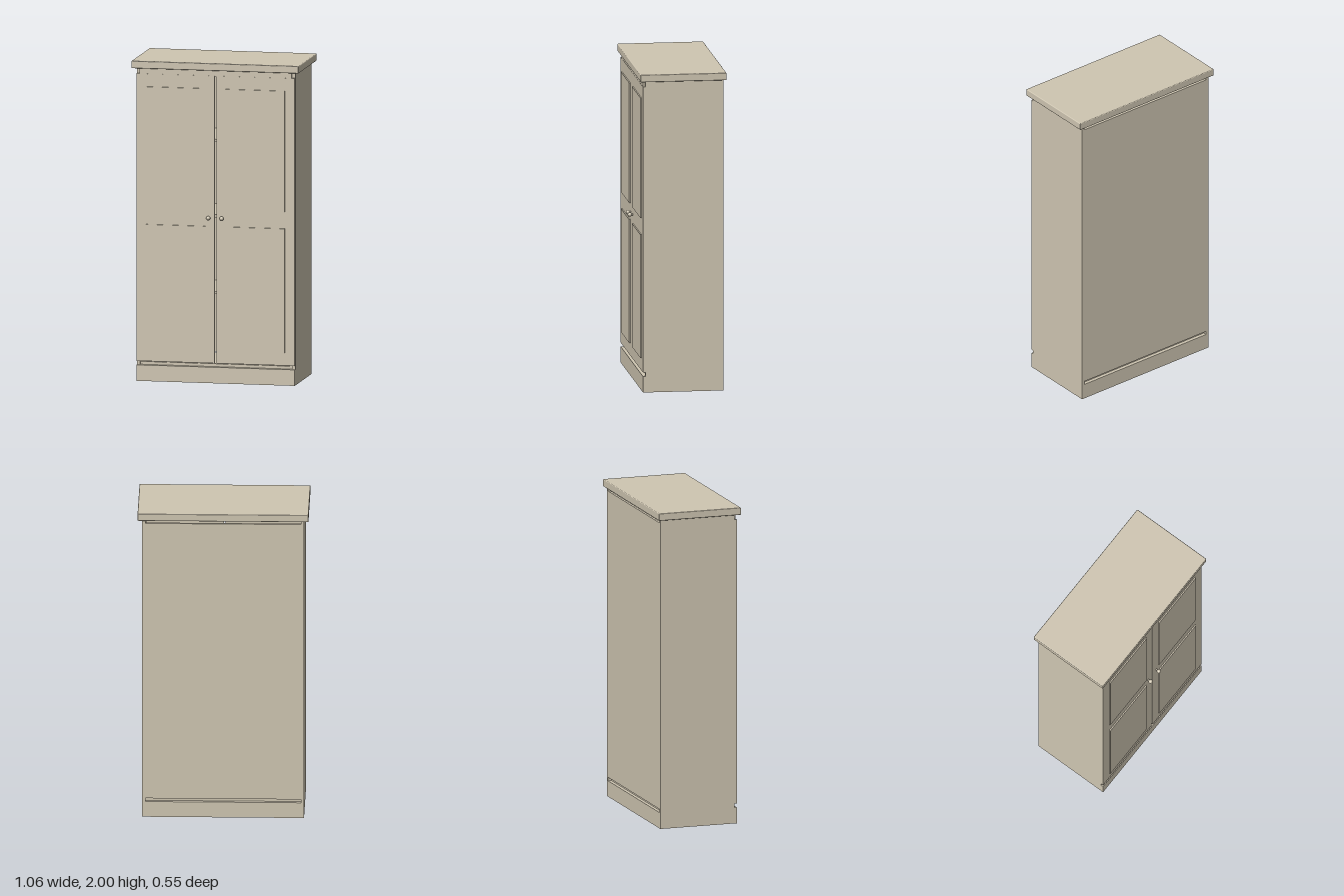
import * as THREE from 'three';
import { RoundedBoxGeometry } from 'three/addons/geometries/RoundedBoxGeometry.js';

export function createModel() {
  const cabinet = new THREE.Group();
  cabinet.name = 'wardrobe';
  const paint = new THREE.MeshStandardMaterial({ color: 0xcfc6b2 });
  paint.name = 'cream paint';

  function add(name, geometry, parent = cabinet) {
    const mesh = new THREE.Mesh(geometry, paint);
    mesh.name = name;
    parent.add(mesh);
    return mesh;
  }

  // Box given by its limits on each axis
  function box(name, [x0, x1], [y0, y1], [z0, z1], parent) {
    const mesh = add(name, new THREE.BoxGeometry(x1 - x0, y1 - y0, z1 - z0), parent);
    mesh.position.set((x0 + x1) / 2, (y0 + y1) / 2, (z0 + z1) / 2);
    return mesh;
  }

  // Carcass
  box('plinth', [-0.5, 0.5], [0, 0.1], [-0.257, 0.243]);
  box('backPanel', [-0.48, 0.48], [0.122, 1.932], [-0.257, -0.241]);
  box('topRail', [-0.48, 0.48], [1.915, 1.956], [0.21, 0.242]);
  box('floor', [-0.48, 0.48], [0.1, 0.118], [-0.235, 0.215]);
  for (const y of [0.55, 1.03, 1.5]) {
    box('shelf', [-0.48, 0.48], [y, y + 0.018], [-0.241, 0.2]);
  }

  // Overhanging top with softened edges
  const top = add('top', new RoundedBoxGeometry(1.056, 0.046, 0.536, 3, 0.005));
  top.position.set(0, 1.977, -0.007);

  for (const side of [-1, 1]) {
    const span = (a, b) => (side > 0 ? [a, b] : [-b, -a]);
    box('sidePanel', span(0.48, 0.5), [0.1, 1.956], [-0.257, 0.227]);

    // Door with two raised panels
    const door = new THREE.Group();
    door.name = side > 0 ? 'leftDoor' : 'rightDoor';
    cabinet.add(door);
    box('doorLeaf', span(0.005, 0.5), [0.125, 1.92], [0.228, 0.243], door);
    for (const range of [[0.205, 0.98], [1.085, 1.84]]) {
      box('raisedPanel', span(0.063, 0.437), range, [0.24, 0.251], door);
    }

    // Round knob on a short stem
    const stem = add('knobStem', new THREE.CylinderGeometry(0.006, 0.006, 0.02, 16), door);
    stem.rotation.x = Math.PI / 2;
    stem.position.set(side * 0.042, 1.033, 0.25);
    const knob = add('knob', new THREE.SphereGeometry(0.013, 24, 16), door);
    knob.position.set(side * 0.042, 1.033, 0.262);
  }

  return cabinet;
}
